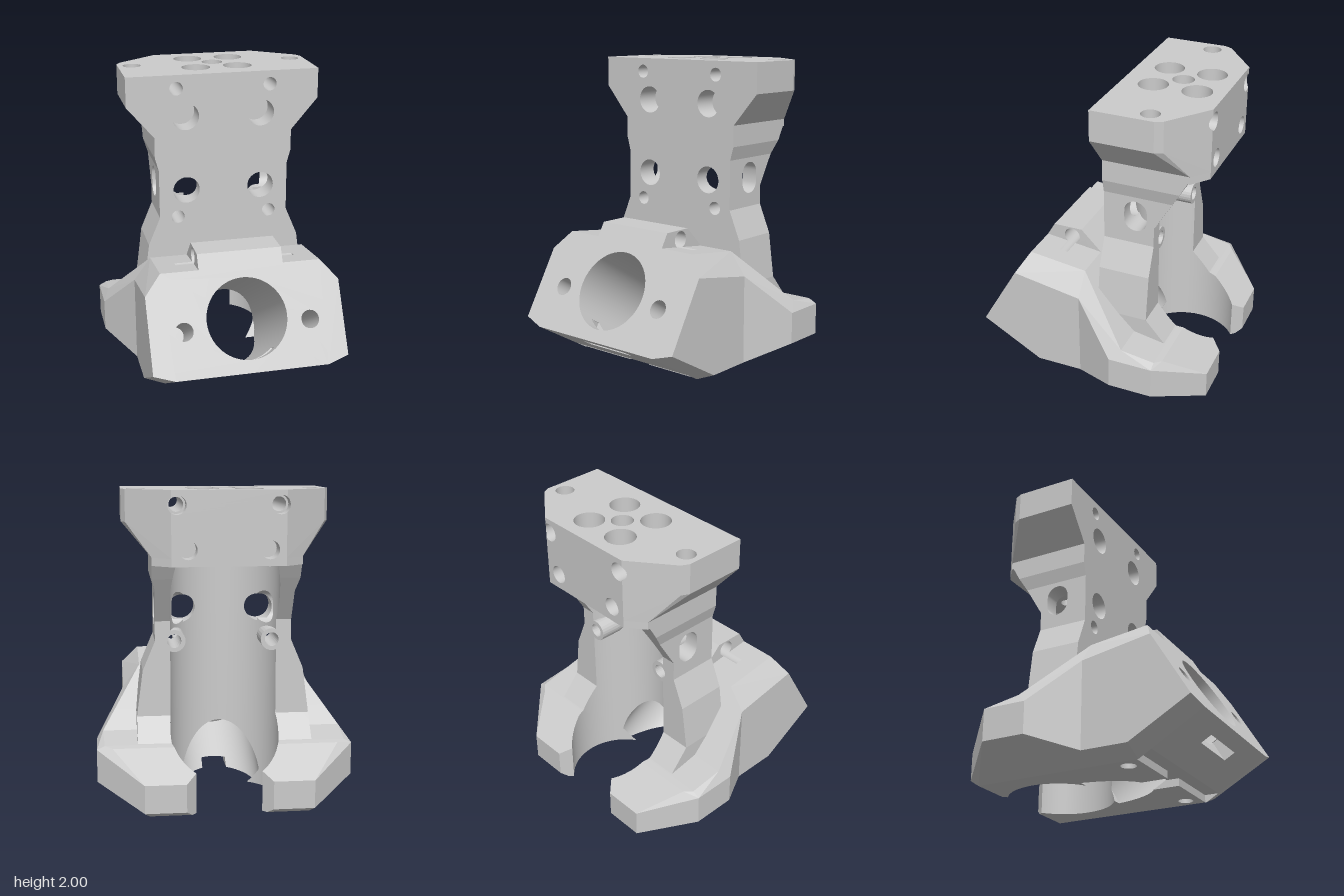
import * as THREE from 'three';
import { ConvexGeometry } from 'three/addons/geometries/ConvexGeometry.js';

const V = (x, y, z) => new THREE.Vector3(x, y, z);
const EPS = 1e-5;

// A convex solid: its triangles (with normals) and its bounding planes
function convex(geometry, name) {
  const g = geometry.index ? geometry.toNonIndexed() : geometry;
  const P = g.attributes.position, N = g.attributes.normal, planes = [], polys = [];
  for (let i = 0; i < P.count; i += 3) {
    const pts = [0, 1, 2].map(k => ({
      p: V().fromBufferAttribute(P, i + k), n: V().fromBufferAttribute(N, i + k) }));
    const normal = V().crossVectors(pts[1].p.clone().sub(pts[0].p), pts[2].p.clone().sub(pts[0].p));
    if (normal.length() < 1e-8) continue;
    normal.normalize();
    const w = normal.dot(pts[0].p);
    if (!planes.some(q => q.normal.dot(normal) > 1 - 1e-7 && Math.abs(q.w - w) < 1e-4)) planes.push({ normal, w });
    polys.push({ pts, normal });
  }
  return { name, planes, polys };
}

// Split a polygon by a plane into its front and back pieces
function split(poly, plane, keepSame) {
  const d = poly.pts.map(v => plane.normal.dot(v.p) - plane.w);
  if (d.every(t => Math.abs(t) < EPS))
    return keepSame && plane.normal.dot(poly.normal) > 0 ? [poly, null] : [null, poly];
  if (d.every(t => t > -EPS)) return [poly, null];
  if (d.every(t => t < EPS)) return [null, poly];
  const front = [], back = [];
  poly.pts.forEach((a, i) => {
    const j = (i + 1) % d.length, b = poly.pts[j];
    if (d[i] > -EPS) front.push(a);
    if (d[i] < EPS) back.push(a);
    if ((d[i] >= EPS && d[j] <= -EPS) || (d[i] <= -EPS && d[j] >= EPS)) {
      const t = d[i] / (d[i] - d[j]);
      const m = { p: a.p.clone().lerp(b.p, t), n: a.n.clone().lerp(b.n, t).normalize() };
      front.push(m); back.push(m);
    }
  });
  return [{ pts: front, normal: poly.normal }, { pts: back, normal: poly.normal }];
}

// Pieces of a polygon outside a convex solid, and the piece inside it
function divide(poly, solid, keepSame) {
  const outside = [];
  let rest = poly;
  for (const plane of solid.planes) {
    const [f, b] = split(rest, plane, keepSame);
    if (f) outside.push(f);
    if (!b) return { outside: [poly], inside: null };
    rest = b;
  }
  return { outside, inside: rest };
}
const outsideOf = (polys, solid, keep) => polys.flatMap(p => divide(p, solid, keep).outside);

// Surface of (all adds) minus (all cuts), gathered by part name
function carve(adds, cuts) {
  const parts = {};
  const put = (name, polys) => (parts[name] ??= []).push(...polys);
  adds.forEach((a, i) => {
    let polys = a.polys;
    adds.forEach((b, j) => { if (i !== j) polys = outsideOf(polys, b, i < j); });
    cuts.forEach(c => { polys = outsideOf(polys, c, false); });
    put(a.name, polys);
  });
  cuts.forEach((c, i) => {
    let rest = c.polys, polys = [];
    for (const a of adds) {
      const next = [];
      for (const p of rest) {
        const r = divide(p, a, false);
        if (r.inside) polys.push(r.inside);
        next.push(...r.outside);
      }
      rest = next;
    }
    cuts.forEach((b, j) => { if (i !== j) polys = outsideOf(polys, b, i < j); });
    put(c.name, polys.map(p => ({
      pts: p.pts.map(v => ({ p: v.p, n: v.n.clone().negate() })).reverse() })));
  });
  return parts;
}

function polysToGeometry(polys) {
  const pos = [], nor = [];
  for (const { pts } of polys)
    for (let i = 2; i < pts.length; i++)
      for (const v of [pts[0], pts[i - 1], pts[i]]) { pos.push(...v.p); nor.push(...v.n); }
  const g = new THREE.BufferGeometry();
  g.setAttribute('position', new THREE.Float32BufferAttribute(pos, 3));
  g.setAttribute('normal', new THREE.Float32BufferAttribute(nor, 3));
  return g;
}

// Convex hull of points given for one side and mirrored in x
const hull = (name, pts) => convex(new ConvexGeometry(
  pts.flatMap(([x, y, z]) => [V(x, y, z), V(-x, y, z)])), name);

// Round bar from a to b
function rod(name, r, a, b, seg = 32) {
  const A = V(...a), B = V(...b), dir = B.clone().sub(A);
  const g = new THREE.CylinderGeometry(r, r, dir.length(), seg);
  g.applyQuaternion(new THREE.Quaternion().setFromUnitVectors(V(0, 1, 0), dir.normalize()));
  const m = A.add(B).multiplyScalar(0.5);
  return convex(g.translate(m.x, m.y, m.z), name);
}
const box = (name, w, h, d, x, y, z, tilt = 0) =>
  convex(new THREE.BoxGeometry(w, h, d).rotateX(tilt).translate(x, y, z), name);

export function createModel() {
  const adds = [], cuts = [];

  // Tower: stacked sections, [y, [x, z] ...] on one side
  const top = [[0.645, -0.04], [0.645, -0.45], [0.62, -0.5], [0.35, -0.705]];
  const neck = [[0.465, -0.04], [0.465, -0.615], [0.35, -0.705]];
  const col = (x, z) => [[x, -0.04], [x, z]];
  const stacks = [
    [[2, top], [1.8, top], [1.59, neck], [1.54, neck]],
    [[1.54, col(0.465, -0.6)], [1.45, col(0.465, -0.55)], [1.36, col(0.44, -0.497)],
      [1.16, col(0.44, -0.38)], [1.03, col(0.44, -0.38)], [0.84, col(0.52, -0.38)],
      [0.54, col(0.56, -0.38)], [0.38, col(0.56, -0.52)], [0.1, col(0.5, -0.52)]],
  ];
  for (const s of stacks)
    for (let i = 1; i < s.length; i++)
      adds.push(hull('tower', [s[i - 1], s[i]].flatMap(([y, sec]) => sec.map(([x, z]) => [x, y, z]))));

  // Base: front block, ridge, sloping shoulders and rear legs
  const seam = [[0.53, 0.79, 0.06], [0.64, 0.64, 0.06], [0.64, 0.06, 0.06], [0.5, 0, 0.06]];
  const rear = [[0.78, 0.43, -0.3], [0.82, 0.365, -0.3], [0.82, 0.155, -0.3], [0.5, 0, -0.3]];
  adds.push(
    hull('base', [...seam, [0.5, 0, 0.37], [0.64, 0.06, 0.37], [0.5, 0.25, 0.8], [0.64, 0.29, 0.776],
      [0.64, 0.72, 0.5235], [0.53, 0.84, 0.453]]),
    hull('ridge', [[0.28, 0.93, 0.4], [0.28, 0.93, 0.2], [0.28, 0.84, 0.453], [0.28, 0.7, 0.4],
      [0.28, 0.79, 0.06], [0.28, 0.6, 0.06]]),
    hull('base', [...seam, ...rear, [0.82, 0.365, -0.23], [0.82, 0.155, -0.23]]),
    hull('rearLegs', [...rear, [0.82, 0.365, -0.52], [0.82, 0.155, -0.52], [0.77, 0.39, -0.52],
      [0.72, 0.38, -0.56], [0.53, 0.21, -0.8], [0.53, 0.03, -0.8], [0.5, 0, -0.76]]));

  // Upright cavity, gap between the legs, and the tilted front bore
  const ny = 0.507, nz = 0.862;
  const along = (x, y, t) => [x, y + ny * t, 0.8 - (y - 0.25) * 0.588 + nz * t];
  cuts.push(
    rod('cavity', 0.35, [0, -0.1, -0.45], [0, 1.541, -0.45], 56),
    hull('legGap', [-0.1, 0.8].flatMap(y => [[0.15, y, -0.67], [0.28, y, -0.81]])),
    rod('frontBore', 0.265, along(0, 0.55, 0.2), along(0, 0.55, -0.95), 56),
    box('frontNotch', 1, 0.15, 0.5, 0, -0.025, 0.611),
    box('floorSlot', 0.17, 0.17, 0.9, 0, -0.035, 0.23),
    box('undersideSlot', 0.37, 0.3, 0.08, 0, 0.175, 0.671, -0.53),
    rod('ridgeHole', 0.056, [-0.4, 0.866, 0.27], [0.4, 0.866, 0.27]),
    rod('centreHole', 0.07, [0, 1.4, -0.39], [0, 2.1, -0.39]));

  // Oval side windows
  const oval = new THREE.CylinderGeometry(0.077, 0.077, 1.2, 32).rotateZ(Math.PI / 2);
  const op = oval.attributes.position;
  for (let i = 0; i < op.count; i++)
    if (Math.abs(op.getY(i)) > 1e-4) op.setY(i, op.getY(i) + Math.sign(op.getY(i)) * 0.028);
  cuts.push(convex(oval.translate(0, 1.225, -0.255), 'sideWindows'));

  // Paired holes
  for (const s of [-1, 1]) {
    cuts.push(
      rod('boltHoles', 0.06, along(s * 0.415, 0.51, 0.1), along(s * 0.415, 0.51, -0.4), 24),
      rod('bottomHoles', 0.05, [s * 0.41, -0.1, 0.26], [s * 0.41, 0.12, 0.26], 24),
      rod('topPinHoles', 0.06, [s * 0.55, 1.88, -0.39], [s * 0.55, 2.1, -0.39], 24),
      rod('plateHoles', 0.045, [s * 0.315, 1.91, 0.05], [s * 0.315, 1.91, -0.8], 24),
      rod('rearCounterbores', 0.058, [s * 0.315, 1.91, -0.6], [s * 0.315, 1.91, -0.85], 24),
      rod('rearHoles', 0.058, [s * 0.25, 1.64, -0.58], [s * 0.25, 1.64, -0.8], 24),
      rod('plateHoles', 0.045, [s * 0.315, 1.03, 0.05], [s * 0.315, 1.03, -0.5], 24));
    for (const y of [1.72, 1.215])
      cuts.push(rod('frontPockets', 0.09, [s * 0.255, y, 0.05], [s * 0.255, y, -0.2]));
    for (const z of [-0.53, -0.245]) cuts.push(
      rod('topHoles', 0.045, [s * 0.142, 1.4, z], [s * 0.142, 2.1, z], 24),
      rod('topCounterbores', 0.096, [s * 0.142, 1.86, z], [s * 0.142, 2.15, z]));
  }

  const group = new THREE.Group();
  const material = new THREE.MeshStandardMaterial({ color: 0xcccccc });
  const add = (geometry, name) => {
    const mesh = new THREE.Mesh(geometry, material);
    mesh.name = name;
    group.add(mesh);
    return mesh;
  };
  for (const [name, polys] of Object.entries(carve(adds, cuts))) if (polys.length) add(polysToGeometry(polys), name);

  // Hollow screw bosses inside the cavity
  const ring = [[0.045, 0], [0.072, 0], [0.072, 0.2], [0.045, 0.2], [0.045, 0]].map(p => new THREE.Vector2(...p));
  for (const s of [-1, 1]) {
    const g = new THREE.LatheGeometry(ring, 24).toNonIndexed();
    g.computeVertexNormals();
    add(g.rotateX(-Math.PI / 2).translate(s * 0.315, 1.03, -0.18), 'screwBoss');
  }
  return group;
}
